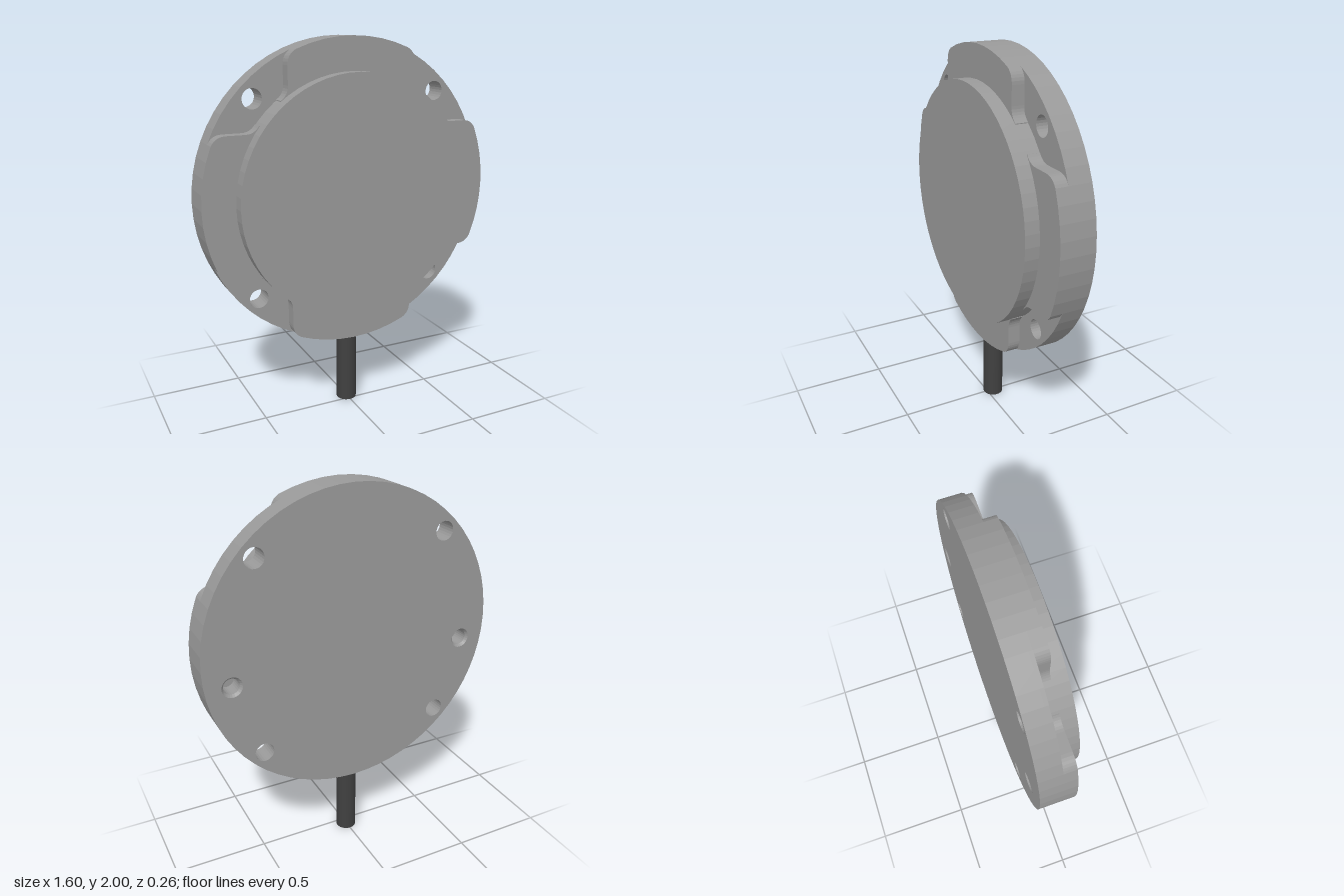
import * as THREE from 'three';

const CY = 1.2;   // height of the disc centre
const R = 0.8;    // rim radius
const SEG = 64;   // sides of the large circles

export function createModel() {
  const housing = new THREE.MeshStandardMaterial({ color: 0x999999 });
  housing.name = 'housing grey';
  const bore = new THREE.MeshStandardMaterial({ color: 0x999999, side: THREE.DoubleSide });
  bore.name = 'bore grey';
  const rubber = new THREE.MeshStandardMaterial({ color: 0x404040 });
  rubber.name = 'cable dark grey';

  const model = new THREE.Group();
  model.name = 'discSensor';

  const add = (name, geometry, material, x = 0, y = CY, z = 0) => {
    const mesh = new THREE.Mesh(geometry, material);
    mesh.name = name;
    mesh.position.set(x, y, z);
    model.add(mesh);
    return mesh;
  };
  const circle = (r, n, x = 0, y = 0) => Array.from({ length: n }, (_, i) => {
    const a = (i / n) * Math.PI * 2;
    return new THREE.Vector2(x + r * Math.cos(a), y + r * Math.sin(a));
  });
  const slab = (shape, z0, z1) => new THREE.ExtrudeGeometry(shape, {
    depth: z1 - z0, bevelEnabled: false, curveSegments: 6,
  }).translate(0, 0, z0);

  // Base plate: four through holes, plus two blind holes open at the back
  const through = [[1, 1], [-1, 1], [-1, -1], [1, -1]].map(([x, y]) => [x * 0.51, y * 0.51]);
  const blind = [[0.655, -0.106], [-0.655, -0.106]];
  const plate = (withBlind) => {
    const s = new THREE.Shape(circle(R, SEG));
    for (const [x, y] of through) s.holes.push(new THREE.Path(circle(0.051, 24, x, y)));
    if (withBlind) for (const [x, y] of blind) s.holes.push(new THREE.Path(circle(0.054, 24, x, y)));
    return s;
  };
  add('basePlateBack', slab(plate(true), -0.13, -0.03), housing);
  add('basePlateFront', slab(plate(false), -0.03, -0.01), housing);

  // Chamfered sleeves inside the blind holes
  const sleeve = new THREE.LatheGeometry(
    [[0.054, -0.13], [0.042, -0.116], [0.042, -0.03]].map(([r, z]) => new THREE.Vector2(r, z)), 24,
  ).toNonIndexed();
  sleeve.rotateX(Math.PI / 2);
  sleeve.computeVertexNormals();
  for (const [x, y] of blind) add('mountingBore', sleeve, bore, x, CY + y);

  // Four raised rim pads with rounded outer corners and filleted roots
  const pad = new THREE.Shape();
  pad.moveTo(-0.385, 0.485);
  pad.lineTo(0.385, 0.485);
  pad.lineTo(0.388, 0.5);
  pad.quadraticCurveTo(0.35, 0.525, 0.35, 0.57);
  pad.lineTo(0.35, 0.665);
  const step = (Math.PI * 2) / SEG;
  pad.quadraticCurveTo(0.35, 0.715, R * Math.sin(4 * step), R * Math.cos(4 * step));
  for (let k = 3; k >= -4; k--) pad.lineTo(R * Math.sin(k * step), R * Math.cos(k * step));
  pad.quadraticCurveTo(-0.35, 0.715, -0.35, 0.665);
  pad.lineTo(-0.35, 0.57);
  pad.quadraticCurveTo(-0.35, 0.525, -0.388, 0.5);
  const padGeometry = slab(pad, -0.01, 0.055);
  ['topPad', 'rightPad', 'bottomPad', 'leftPad'].forEach((name, i) => {
    add(name, padGeometry, housing).rotation.z = (i * Math.PI) / 2;
  });

  // Front cap
  add('frontCap', slab(new THREE.Shape(circle(0.63, SEG)), -0.01, 0.13), housing);

  // Cable leaving the bottom of the rim
  add('cable', new THREE.CylinderGeometry(0.055, 0.055, 0.45, 32), rubber, 0, 0.225, -0.037);

  return model;
}
